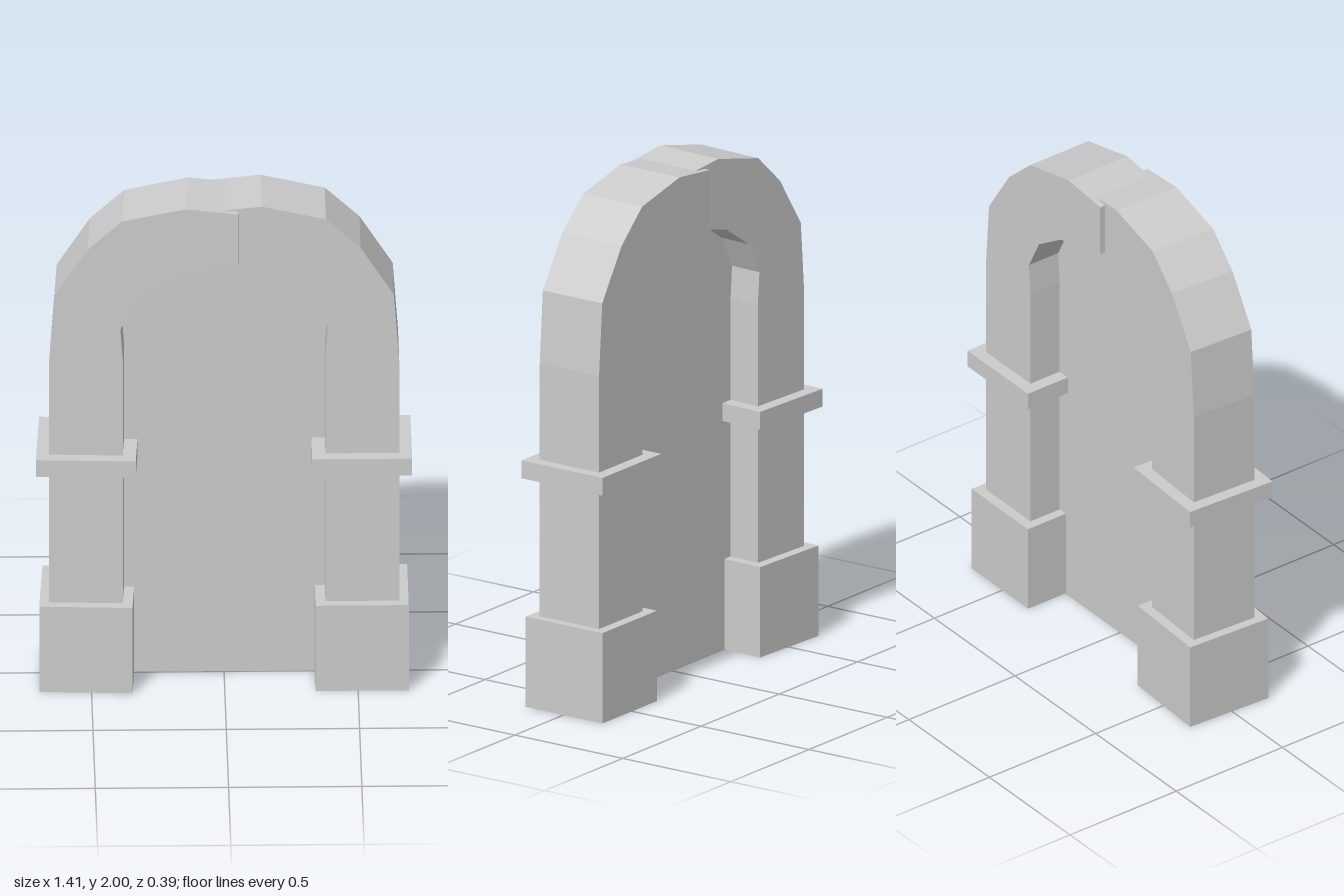
import * as THREE from 'three';

const stone = new THREE.MeshStandardMaterial({ color: 0xcccccc, flatShading: true });
const sheet = new THREE.MeshStandardMaterial({ color: 0xcccccc, flatShading: true, side: THREE.DoubleSide });

const BASE_TOP = 0.355;
const PILLAR_X = 0.515;
const shapeOf = (pts) => new THREE.Shape(pts.map(([x, y]) => new THREE.Vector2(x, y)));

// Curves of the +x half, from the pillar up to just past the crown
const outer = [[0.655, BASE_TOP], [0.655, 1.35], [0.635, 1.63], [0.51, 1.825], [0.38, 1.945], [0.14, 2], [-0.055, 1.98]];
const inner = [[0.378, BASE_TOP], [0.378, 1.37], [0.387, 1.495], [0.325, 1.62], [0.19, 1.71], [-0.055, 1.77]];

function box(name, w, h, d, y) {
  const mesh = new THREE.Mesh(new THREE.BoxGeometry(w, h, d), stone);
  mesh.name = name;
  mesh.position.set(PILLAR_X, y, 0);
  return mesh;
}

// One half of the archway: pillar with curved top, foot block and collar
function archHalf(name) {
  const half = new THREE.Group();
  half.name = name;
  const depth = 0.275;
  const geo = new THREE.ExtrudeGeometry(shapeOf([...outer, ...[...inner].reverse()]), { depth, bevelEnabled: false });
  geo.translate(0, 0, -depth / 2);
  const arch = new THREE.Mesh(geo, stone);
  arch.name = 'archStone';
  half.add(arch);
  half.add(box('footBlock', 0.35, BASE_TOP, 0.355, BASE_TOP / 2));
  half.add(box('collar', 0.375, 0.07, 0.375, 0.935));
  return half;
}

export function createModel() {
  const model = new THREE.Group();
  model.name = 'archway';

  const left = archHalf('leftHalf');
  left.position.z = -0.003;

  // The other half is the same piece turned round, set slightly askew
  const right = archHalf('rightHalf');
  right.rotation.y = Math.PI - 0.05;
  right.position.set(0.002, 0, 0.022);
  model.add(left, right);

  // Thin panel closing the opening, tucked a little into the stone
  const edge = [[0.4, 0], [0.4, 1.5], [0.335, 1.63], [0.2, 1.725], [0, 1.775]];
  const mirrored = edge.slice(0, -1).reverse().map(([x, y]) => [-x, y]);
  const panel = new THREE.Mesh(new THREE.ShapeGeometry(shapeOf([...edge, ...mirrored])), sheet);
  panel.name = 'panel';
  panel.position.z = -0.003;
  model.add(panel);

  return model;
}
